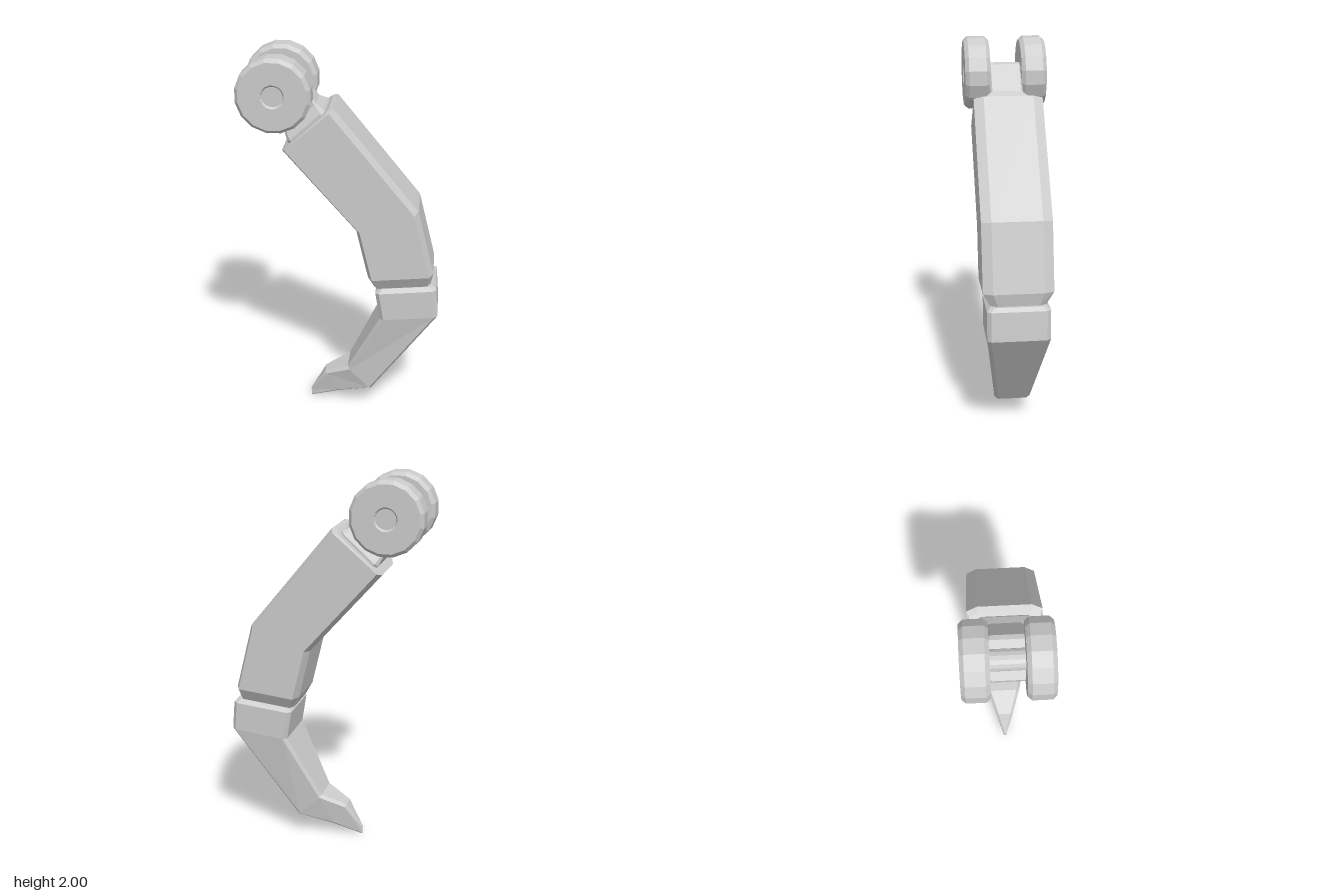
import * as THREE from 'three';

const material = new THREE.MeshStandardMaterial({ color: 0xcccccc, flatShading: true });

// Chamfered cross-section between an inner and an outer point, w = half depth,
// c = chamfer along the section, cz = chamfer along z.
function ring([ax, ay, bx, by, w, c, cz]) {
  const L = Math.hypot(bx - ax, by - ay);
  const at = (s, z) => [ax + (bx - ax) * s / L, ay + (by - ay) * s / L, z];
  return [
    at(c, -w), at(L - c, -w), at(L, cz - w), at(L, w - cz),
    at(L - c, w), at(c, w), at(0, w - cz), at(0, cz - w),
  ];
}

// Skin a row of sections running from top to bottom, closed at both ends.
function loft(name, sections) {
  const rings = sections.map(ring);
  const n = 8, last = rings.length - 1;
  const index = [];
  for (let i = 0; i < last; i++) {
    for (let j = 0; j < n; j++) {
      const a = i * n + j, b = i * n + (j + 1) % n;
      index.push(a, b, b + n, a, b + n, a + n);
    }
  }
  for (let j = 1; j < n - 1; j++) {
    index.push(0, j + 1, j, last * n, last * n + j, last * n + j + 1);
  }
  const geometry = new THREE.BufferGeometry();
  geometry.setAttribute('position', new THREE.Float32BufferAttribute(rings.flat(2), 3));
  geometry.setIndex(index);
  const flat = geometry.toNonIndexed();
  flat.computeVertexNormals();
  const mesh = new THREE.Mesh(flat, material);
  mesh.name = name;
  return mesh;
}

// Section of the shoulder knuckle: t along the arm axis, h half height.
function knuckleSection(t, h, w, c, cz) {
  const x = -0.165 - 0.67 * t, y = 1.62 + 0.74 * t;
  return [x - 0.74 * h, y - 0.67 * h, x + 0.74 * h, y + 0.67 * h, w, c, cz];
}

// Bevelled disc with a shallow hub recess on both faces.
function wheel(name, z) {
  const half = [[0.05, 0.055], [0.06, 0.066], [0.172, 0.066], [0.19, 0.046]];
  const profile = [
    ...half.map(([r, y]) => new THREE.Vector2(r, -y)),
    ...half.reverse().map(([r, y]) => new THREE.Vector2(r, y)),
  ];
  const geometry = new THREE.LatheGeometry(profile, 16, Math.PI / 16);
  geometry.rotateX(Math.PI / 2);
  const mesh = new THREE.Mesh(geometry, material);
  mesh.name = name;
  mesh.position.set(-0.33, 1.81, z);
  return mesh;
}

export function createModel() {
  const model = new THREE.Group();
  model.name = 'leg';

  // Shoulder joint
  model.add(wheel('frontWheel', 0.147), wheel('backWheel', -0.147));
  const axle = new THREE.Mesh(new THREE.CylinderGeometry(0.052, 0.052, 0.408, 16), material);
  axle.name = 'axle';
  axle.rotation.x = Math.PI / 2;
  axle.position.set(-0.33, 1.81, 0);
  model.add(axle);

  model.add(loft('knuckle', [
    knuckleSection(0.25, 0.1, 0.085, 0.01, 0.01),
    knuckleSection(0.23, 0.115, 0.085, 0.01, 0.01),
    knuckleSection(0.07, 0.11, 0.085, 0.01, 0.01),
    knuckleSection(0.025, 0.125, 0.13, 0.02, 0.02),
    knuckleSection(-0.03, 0.125, 0.13, 0.02, 0.02),
  ]));

  // Upper leg, bent in the middle and tapered at the lower end
  model.add(loft('upperLeg', [
    [-0.28, 1.535, -0.065, 1.73, 0.165, 0.02, 0.045],
    [-0.3, 1.515, -0.04, 1.738, 0.178, 0.022, 0.05],
    [0.077, 1.087, 0.395, 1.205, 0.178, 0.022, 0.05],
    [0.14, 0.823, 0.482, 0.858, 0.178, 0.022, 0.05],
    [0.172, 0.76, 0.47, 0.79, 0.14, 0.02, 0.035],
  ]));

  // Lower leg, narrowing to a pointed claw
  model.add(loft('lowerLeg', [
    [0.2, 0.762, 0.48, 0.788, 0.14, 0.018, 0.02],
    [0.18, 0.738, 0.5, 0.77, 0.16, 0.02, 0.02],
    [0.205, 0.585, 0.512, 0.617, 0.16, 0.02, 0.02],
    [0.03, 0.246, 0.16, 0.113, 0.097, 0.016, 0.02],
    [-0.1, 0.183, -0.02, 0.06, 0.05, 0.014, 0.015],
    [-0.183, 0.045, -0.18, 0.0, 0.007, 0.006, 0.003],
  ]));

  return model;
}
